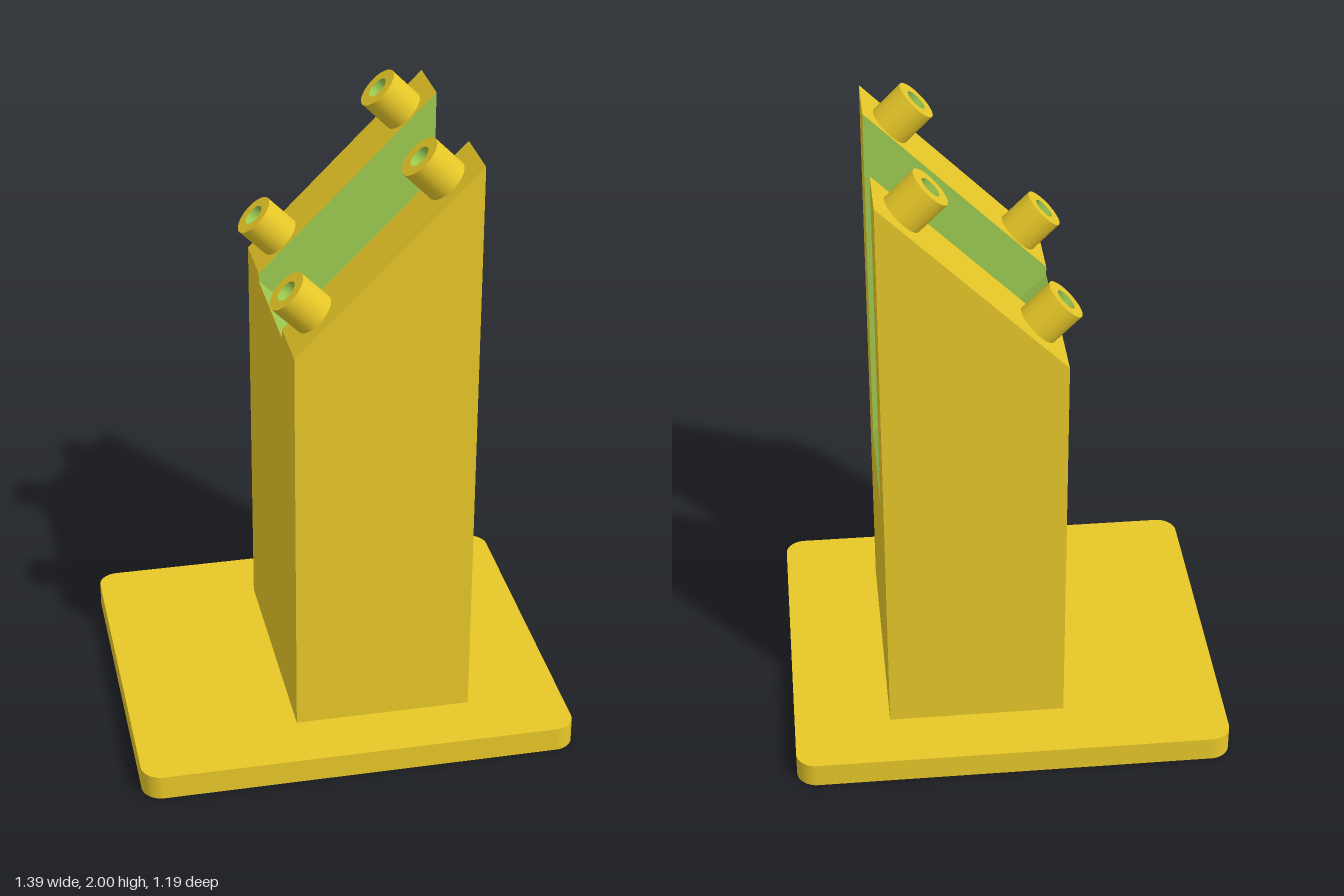
import * as THREE from 'three';

export function createModel() {
  const model = new THREE.Group();
  model.name = 'angledStand';
  const yellow = new THREE.MeshStandardMaterial({ color: 0xf9d72c });
  yellow.name = 'yellow';
  const green = new THREE.MeshStandardMaterial({ color: 0x9dcb51, side: THREE.DoubleSide });
  green.name = 'green';

  const add = (parent, name, geometry, material) => {
    const mesh = new THREE.Mesh(geometry, material);
    mesh.name = name;
    parent.add(mesh);
    return mesh;
  };
  const polygon = (points) => new THREE.Shape(points.map(([x, y]) => new THREE.Vector2(x, y)));
  const slab = (shape, z0, z1) =>
    new THREE.ExtrudeGeometry(shape, { depth: z1 - z0, bevelEnabled: false, curveSegments: 10 }).translate(0, 0, z0);

  // Base plate with rounded corners
  const bx = 0.695, bz = 0.597, r = 0.065, baseTop = 0.08;
  const plate = new THREE.Shape();
  plate.absarc(bx - r, bz - r, r, 0, Math.PI / 2);
  plate.absarc(-bx + r, bz - r, r, Math.PI / 2, Math.PI);
  plate.absarc(-bx + r, -bz + r, r, Math.PI, Math.PI * 1.5);
  plate.absarc(bx - r, -bz + r, r, Math.PI * 1.5, Math.PI * 2);
  plate.closePath();
  add(model, 'basePlate', slab(plate, 0, baseTop).rotateX(-Math.PI / 2), yellow);

  // Column: two sloped cheeks around a lower core
  const x0 = -0.175, x1 = 0.388, low = 1.388, high = 1.951;
  const slotHigh = 1.36, slotLow = 0.797, inner = 0.2, outer = 0.398;
  const cheek = polygon([[x0, baseTop], [x1, baseTop], [x1, high], [x0, low]]);
  const core = polygon([[x0, baseTop], [x1, baseTop], [x1, slotLow], [x0, slotHigh]]);
  add(model, 'frontCheek', slab(cheek, inner, outer), yellow);
  add(model, 'backCheek', slab(cheek, -outer, -inner), yellow);
  add(model, 'columnCore', slab(core, -inner, inner), yellow);

  // Green faces lining the slot
  const wall = polygon([[x0, slotHigh], [x1, slotLow], [x1, high], [x0, low]]);
  for (const s of [1, -1]) {
    add(model, s > 0 ? 'frontSlotWall' : 'backSlotWall', new THREE.ShapeGeometry(wall), green)
      .position.z = s * (inner - 0.001);
  }
  const ramp = new THREE.PlaneGeometry((x1 - x0) * Math.SQRT2, inner * 2 - 0.002);
  const floor = add(model, 'slotFloor', ramp.rotateX(-Math.PI / 2), green);
  floor.position.set((x0 + x1) / 2 + 0.001, (slotHigh + slotLow) / 2 + 0.001, 0);
  floor.rotation.z = -Math.PI / 4;

  // Hollow pegs standing square on the slopes
  const pegR = 0.07, holeR = 0.035, pegH = 0.118;
  for (const x of [-0.092, 0.303]) {
    for (const z of [0.28, -0.28]) {
      const peg = new THREE.Group();
      peg.name = 'peg';
      add(peg, 'pegSide', new THREE.CylinderGeometry(pegR, pegR, pegH, 40, 1, true).translate(0, pegH / 2, 0), yellow);
      add(peg, 'pegRim', new THREE.RingGeometry(holeR, pegR, 40).rotateX(-Math.PI / 2).translate(0, pegH, 0), yellow);
      add(peg, 'pegHole', new THREE.CylinderGeometry(holeR, holeR, pegH, 40, 1, true).translate(0, pegH / 2, 0), green);
      add(peg, 'pegHoleFloor', new THREE.CircleGeometry(holeR, 40).rotateX(-Math.PI / 2).translate(0, 0.004, 0), green);
      peg.position.set(x, low + x - x0, z);
      peg.rotation.z = Math.PI / 4;
      model.add(peg);
    }
  }
  return model;
}
